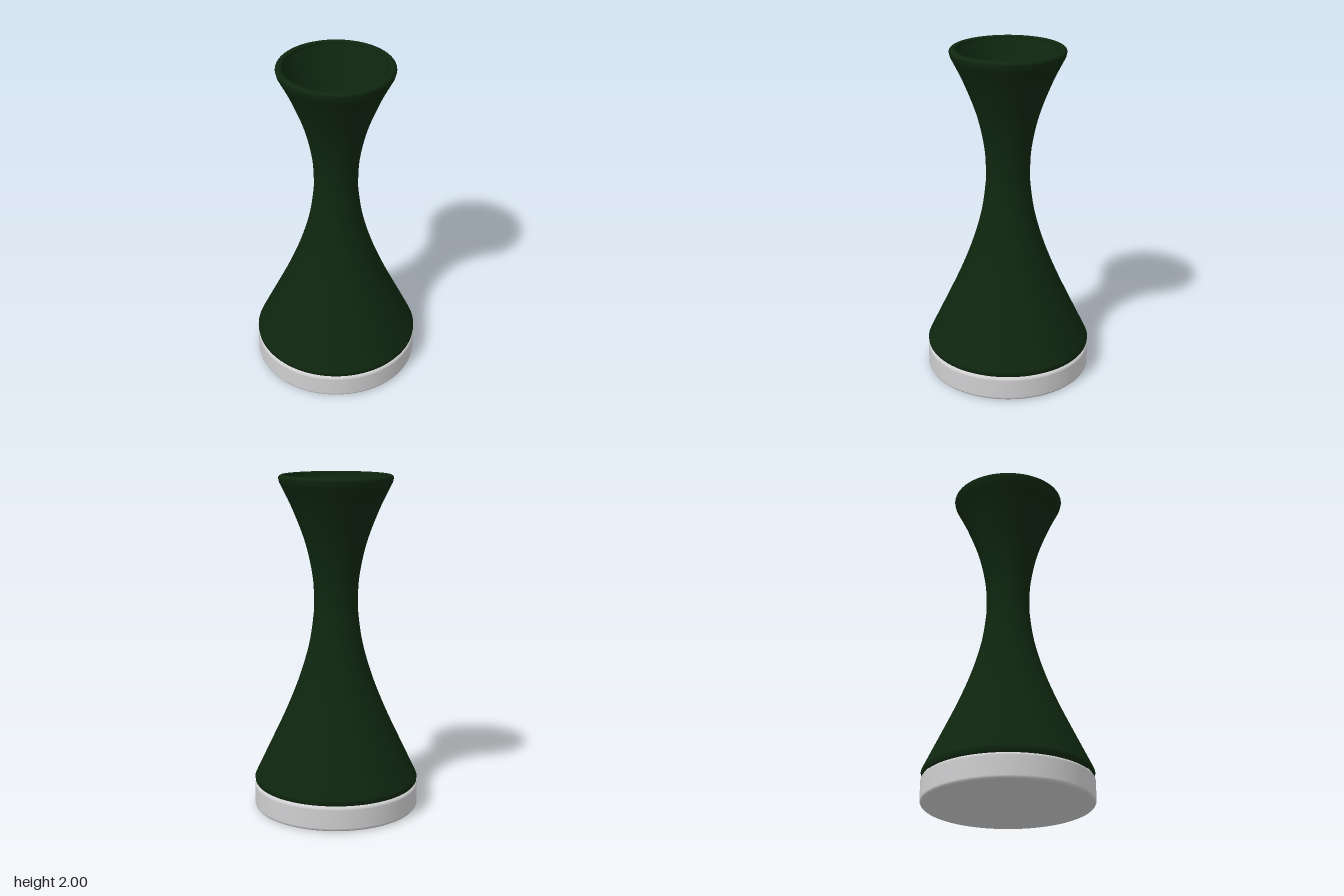
import * as THREE from 'three';

const SEGMENTS = 96;
const vec = ([r, y]) => new THREE.Vector2(r, y);

// Smooth curve through a few [radius, height] points
const smooth = (points, count) => new THREE.SplineCurve(points.map(vec)).getPoints(count);

function lathe(name, points, material) {
  const mesh = new THREE.Mesh(new THREE.LatheGeometry(points, SEGMENTS), material);
  mesh.name = name;
  return mesh;
}

// Quarter round from angle a to b about a centre
function arc(cx, cy, radius, a, b, steps = 5) {
  return Array.from({ length: steps + 1 }, (_, i) => {
    const t = a + ((b - a) * i) / steps;
    return new THREE.Vector2(cx + radius * Math.cos(t), cy + radius * Math.sin(t));
  });
}

export function createModel() {
  const green = new THREE.MeshStandardMaterial({ color: 0x0f260f });
  green.name = 'dark green';
  const silver = new THREE.MeshStandardMaterial({ color: 0xcfcfd1 });
  silver.name = 'light grey';
  const grey = new THREE.MeshStandardMaterial({ color: 0x808082 });
  grey.name = 'mid grey';

  const model = new THREE.Group();
  model.name = 'waistedVase';
  const H = Math.PI / 2;

  // Flared outer wall, closed by a rounded lip
  const outer = [
    [0.492, 0.18], [0.483, 0.205], [0.39, 0.4], [0.297, 0.6], [0.218, 0.8],
    [0.16, 1.0], [0.133, 1.18], [0.13, 1.28], [0.14, 1.42], [0.182, 1.61],
    [0.258, 1.81], [0.329, 1.955],
  ];
  model.add(lathe('outerWall', [
    vec([0.484, 0.152]), vec([0.491, 0.162]),
    ...smooth(outer, 64),
    ...arc(0.315, 1.98, 0.02, 0, H),
    vec([0.305, 1.999]), vec([0.3, 1.994]),
  ], green));

  // Inner wall, following the outer one down to the floor
  const inner = [
    [0.3, 1.994], [0.292, 1.96], [0.226, 1.81], [0.151, 1.61], [0.11, 1.42], [0.1, 1.28],
    [0.103, 1.18], [0.129, 1.0], [0.187, 0.8], [0.265, 0.6], [0.358, 0.4], [0.455, 0.19], [0.465, 0.155],
  ];
  model.add(lathe('innerWall', smooth(inner, 64), green));

  // Round foot with softened edges
  model.add(lathe('base', [
    vec([0, 0]),
    vec([0.46, 0]),
    ...arc(0.475, 0.02, 0.02, -H, 0),
    ...arc(0.475, 0.13, 0.02, 0, H),
    vec([0.46, 0.15]),
  ], silver));

  // Floor seen down through the neck
  const floor = new THREE.Mesh(new THREE.CircleGeometry(0.467, SEGMENTS), grey);
  floor.name = 'innerFloor';
  floor.rotation.x = -H;
  floor.position.y = 0.152;
  model.add(floor);

  return model;
}
